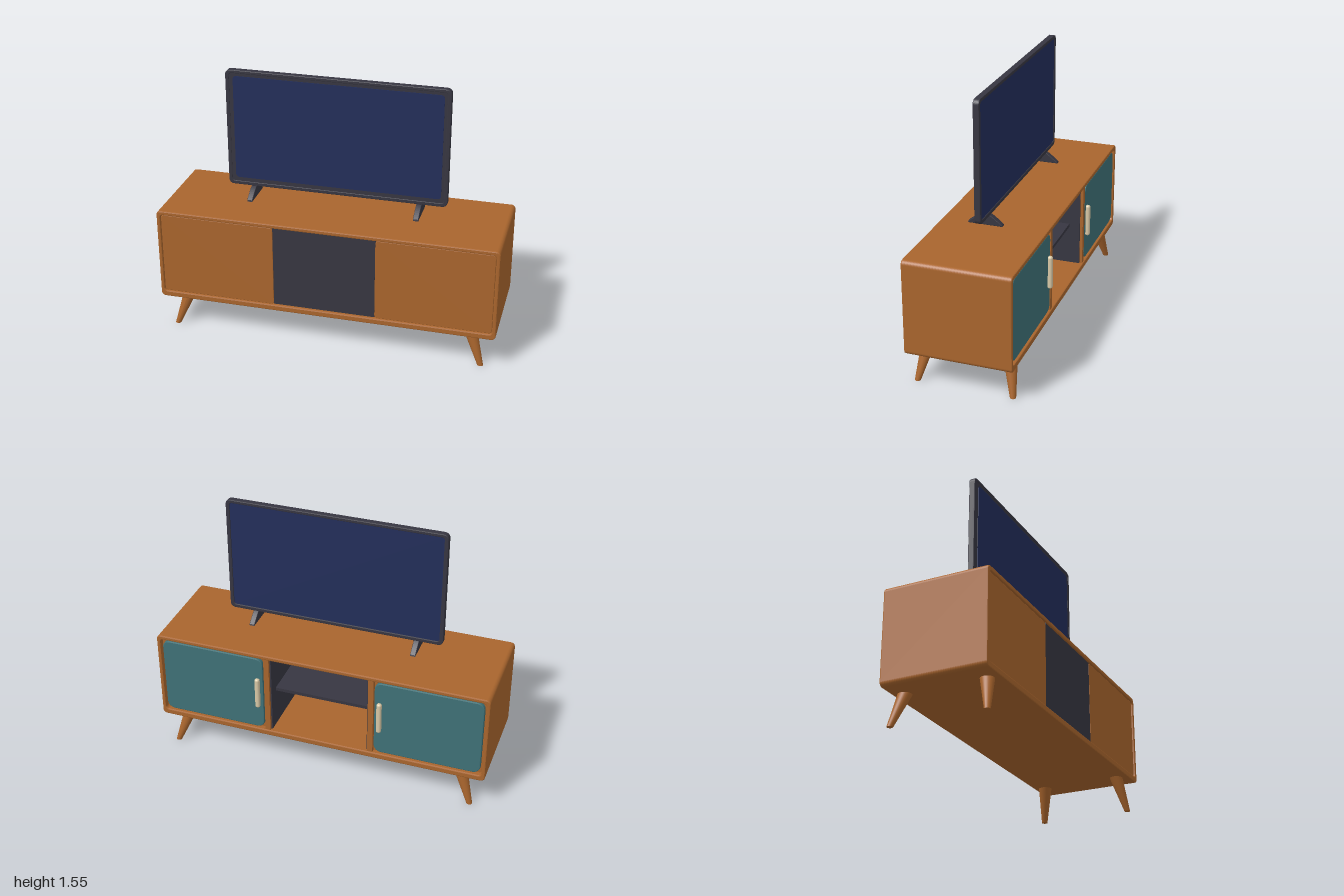
import * as THREE from 'three';
import { RoundedBoxGeometry } from 'three/addons/geometries/RoundedBoxGeometry.js';

const mat = (name, color) => {
  const m = new THREE.MeshStandardMaterial({ color });
  m.name = name;
  return m;
};

// rounded rectangle traced between two corners
function roundRect(path, x0, y0, x1, y1, r) {
  path.moveTo(x0 + r, y0);
  path.lineTo(x1 - r, y0);
  path.absarc(x1 - r, y0 + r, r, -Math.PI / 2, 0);
  path.lineTo(x1, y1 - r);
  path.absarc(x1 - r, y1 - r, r, 0, Math.PI / 2);
  path.lineTo(x0 + r, y1);
  path.absarc(x0 + r, y1 - r, r, Math.PI / 2, Math.PI);
  path.lineTo(x0, y0 + r);
  path.absarc(x0 + r, y0 + r, r, Math.PI, Math.PI * 1.5);
  return path;
}

// extrudes a shape from z0 to z1 with softened edges that stay inside the outline
function slab(shape, z0, z1, bevel) {
  const g = new THREE.ExtrudeGeometry(shape, {
    depth: z1 - z0 - 2 * bevel, curveSegments: 8, bevelEnabled: bevel > 0,
    bevelThickness: bevel, bevelSize: bevel, bevelOffset: -bevel, bevelSegments: 2,
  });
  return g.translate(0, 0, z0 + bevel);
}

export function createModel() {
  const model = new THREE.Group();
  model.name = 'tvOnMediaCabinet';
  const wood = mat('warm wood', 0xa9652d);
  const dark = mat('charcoal', 0x373641);
  const blue = mat('screen navy', 0x232e5a);
  const teal = mat('door teal', 0x3f7177);
  const cream = mat('handle cream', 0xd8c8a6);

  const add = (name, geometry, material, parent = model) => {
    const m = new THREE.Mesh(geometry, material);
    m.name = name;
    parent.add(m);
    return m;
  };
  const box = (name, x0, x1, y0, y1, z0, z1, material, parent) => {
    const m = add(name, new THREE.BoxGeometry(x1 - x0, y1 - y0, z1 - z0), material, parent);
    m.position.set((x0 + x1) / 2, (y0 + y1) / 2, (z0 + z1) / 2);
    return m;
  };
  const plate = (name, x0, y0, x1, y1, r, z0, z1, bevel, material, parent) =>
    add(name, slab(roundRect(new THREE.Shape(), x0, y0, x1, y1, r), z0, z1, bevel), material, parent);

  // cabinet shell, open through z
  const cabinet = new THREE.Group();
  cabinet.name = 'cabinet';
  model.add(cabinet);
  const shell = roundRect(new THREE.Shape(), -1, 0.195, 1, 0.755, 0.025);
  shell.holes.push(roundRect(new THREE.Path(), -0.978, 0.23, 0.978, 0.73, 0.02));
  add('shell', slab(shell, -0.3, 0.315, 0.006), wood, cabinet);

  // closing panels on the +z side
  box('centrePanel', -0.3, 0.3, 0.235, 0.73, 0.29, 0.304, dark, cabinet);

  for (const s of [-1, 1]) {
    const span = (a, b) => (s > 0 ? [a, b] : [-b, -a]);
    const [p0, p1] = span(0.3, 0.976);
    plate('sidePanel', p0, 0.232, p1, 0.728, 0.018, 0.29, 0.306, 0.003, wood, cabinet);

    // divider and its dark lining
    const [d0, d1] = span(0.3, 0.332);
    box('divider', d0, d1, 0.23, 0.73, -0.292, 0.29, wood, cabinet);
    const [l0, l1] = span(0.292, 0.3);
    box('lining', l0, l1, 0.23, 0.73, -0.275, 0.29, dark, cabinet);

    // door and handle on the -z side
    const [t0, t1] = span(0.338, 0.968);
    plate('door', t0, 0.24, t1, 0.72, 0.045, -0.292, -0.265, 0.005, teal, cabinet);
    const [b0, b1] = span(0.332, 0.978);
    box('doorBacking', b0, b1, 0.23, 0.73, -0.268, -0.26, wood, cabinet);
    const handle = add('handle', new RoundedBoxGeometry(0.03, 0.2, 0.03, 3, 0.013), cream, cabinet);
    handle.position.set(s * 0.37, 0.49, -0.302);
  }
  box('shelf', -0.293, 0.293, 0.465, 0.485, -0.21, 0.29, dark, cabinet);

  // splayed tapered legs, sheared so both ends stay level
  for (const sx of [-1, 1]) for (const sz of [-1, 1]) {
    const g = new THREE.CylinderGeometry(0.04, 0.017, 0.205, 20).translate(0, 0.1025, 0);
    const p = g.attributes.position;
    for (let i = 0; i < p.count; i++) {
      const t = 1 - p.getY(i) / 0.205;
      p.setX(i, p.getX(i) + sx * (0.845 + 0.073 * t));
      p.setZ(i, p.getZ(i) + sz * (0.236 + 0.04 * t));
    }
    g.computeVertexNormals();
    add('leg', g, wood, cabinet);
  }

  // television with a screen plate on each face
  const tv = new THREE.Group();
  tv.name = 'television';
  model.add(tv);
  const frame = roundRect(new THREE.Shape(), -0.645, 0.85, 0.651, 1.555, 0.03);
  frame.holes.push(roundRect(new THREE.Path(), -0.622, 0.873, 0.628, 1.535, 0.015));
  add('frame', slab(frame, 0, 0.036, 0.004), dark, tv);
  plate('frontBezel', -0.635, 0.86, 0.641, 1.547, 0.02, 0.012, 0.034, 0, dark, tv);
  plate('frontScreen', -0.6, 0.897, 0.613, 1.52, 0.02, 0.034, 0.037, 0, blue, tv);
  plate('backScreen', -0.624, 0.871, 0.63, 1.537, 0.015, 0.005, 0.012, 0, blue, tv);

  // arched feet, profile drawn along z and turned to face sideways
  const foot = new THREE.Shape();
  foot.moveTo(-0.13, 0.79);
  foot.lineTo(0.07, 0.79);
  foot.lineTo(0.067, 0.798);
  foot.quadraticCurveTo(0.02, 0.838, -0.005, 0.852);
  foot.lineTo(-0.045, 0.852);
  foot.quadraticCurveTo(-0.08, 0.838, -0.128, 0.8);
  foot.closePath();
  for (const s of [-1, 1]) {
    const m = add('tvFoot', slab(foot, -0.016, 0.016, 0.003), dark, tv);
    m.rotation.y = Math.PI / 2;
    m.position.x = s * 0.49;
  }
  return model;
}
